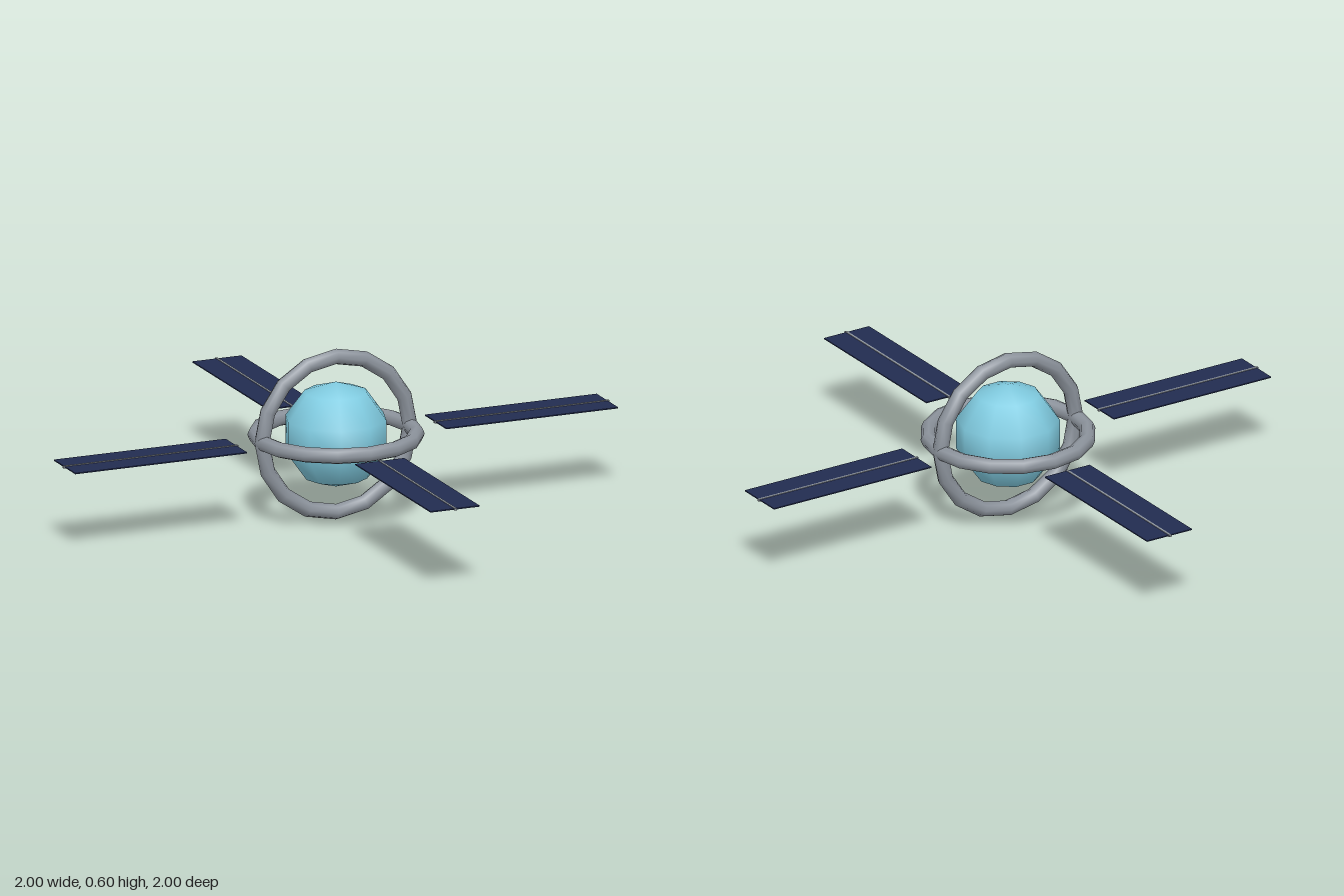
import * as THREE from 'three';

export function createModel() {
  const model = new THREE.Group();
  model.name = 'satellite';
  const material = (name, color) => {
    const m = new THREE.MeshStandardMaterial({ color });
    m.name = name;
    return m;
  };
  const blue = material('light blue', 0x80cbe0);
  const grey = material('metal grey', 0x8c939c);
  const navy = material('panel navy', 0x222c50);

  const add = (parent, name, geometry, mat) => {
    const mesh = new THREE.Mesh(geometry, mat);
    mesh.name = name;
    parent.add(mesh);
    return mesh;
  };

  const ringRadius = 0.271, tube = 0.027;
  const centre = new THREE.Group();
  centre.name = 'body';
  centre.position.y = ringRadius + tube;
  model.add(centre);

  // Core and the two crossed rings around it
  add(centre, 'core', new THREE.SphereGeometry(0.183, 10, 5), blue);
  const ring = new THREE.TorusGeometry(ringRadius, tube, 8, 16);
  add(centre, 'uprightRing', ring, grey);
  add(centre, 'levelRing', ring, grey).rotation.x = Math.PI / 2;

  // Four solar panels, each with a thin rod along its middle
  const panel = new THREE.BoxGeometry(0.63, 0.004, 0.18);
  const rod = new THREE.BoxGeometry(0.64, 0.008, 0.008);
  for (let i = 0; i < 4; i++) {
    const arm = new THREE.Group();
    arm.name = 'solarArm' + (i + 1);
    arm.rotation.y = i * Math.PI / 2;
    add(arm, 'solarPanel', panel, navy).position.x = 0.68;
    add(arm, 'panelRod', rod, grey).position.x = 0.68;
    centre.add(arm);
  }
  return model;
}
